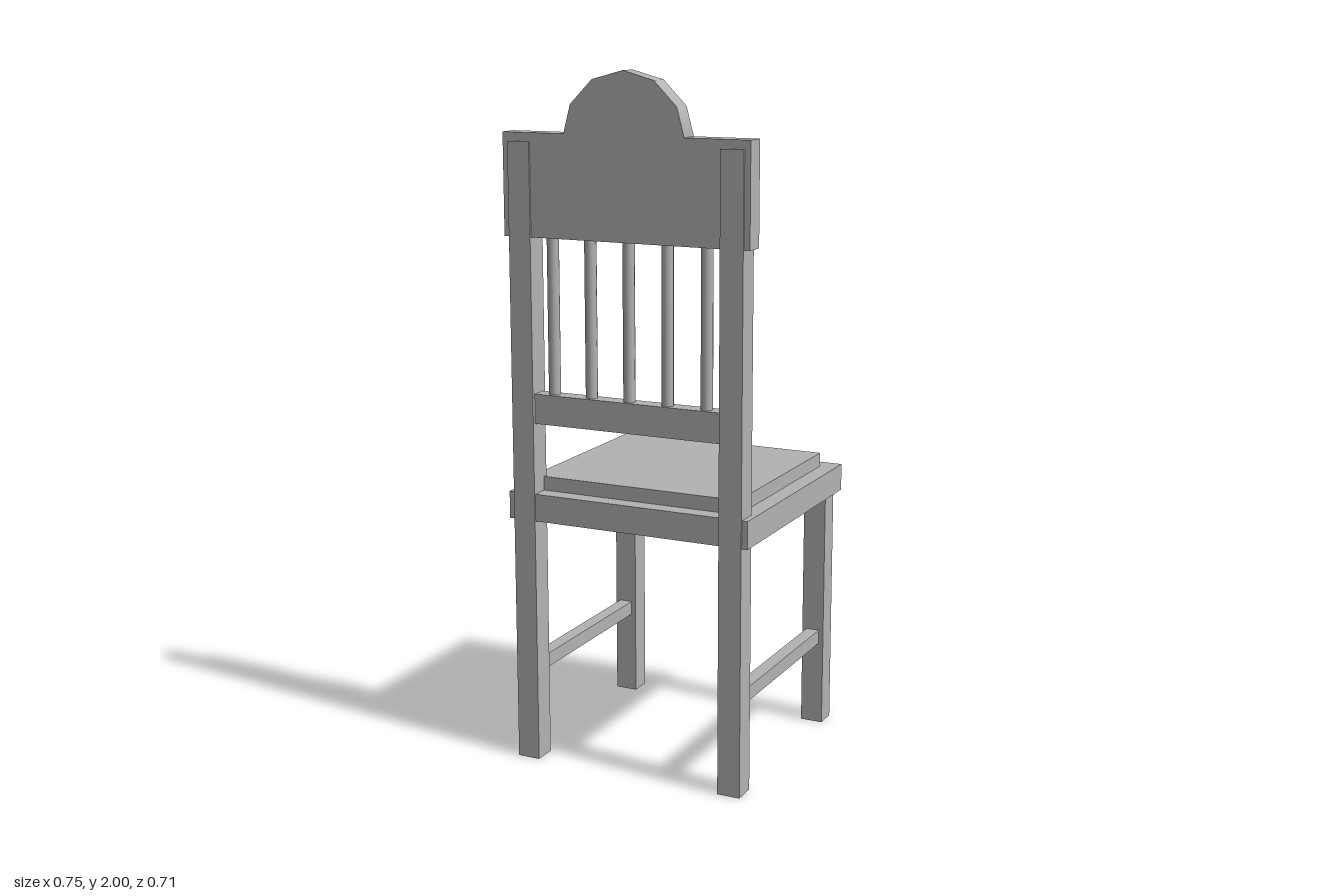
import * as THREE from 'three';

export function createModel() {
  const chair = new THREE.Group();
  chair.name = 'chair';
  const grey = new THREE.MeshStandardMaterial({ color: 0xb3b3b3 });
  grey.name = 'plain grey';

  function add(name, geometry, x, y, z) {
    const mesh = new THREE.Mesh(geometry, grey);
    mesh.name = name;
    mesh.position.set(x, y, z);
    chair.add(mesh);
    return mesh;
  }

  // Box given by its limits on each axis
  function slab(name, [x0, x1], [y0, y1], [z0, z1]) {
    return add(name, new THREE.BoxGeometry(x1 - x0, y1 - y0, z1 - z0),
      (x0 + x1) / 2, (y0 + y1) / 2, (z0 + z1) / 2);
  }

  // Seat and raised cushion
  slab('seat', [-0.373, 0.373], [0.725, 0.805], [-0.357, 0.353]);
  slab('cushion', [-0.323, 0.323], [0.805, 0.846], [-0.306, 0.302]);

  // Legs, tall back posts and side stretchers
  for (const [side, s] of [['left', 1], ['right', -1]]) {
    const span = (a, b) => (s > 0 ? [a, b] : [-b, -a]);
    slab(side + 'BackPost', span(0.288, 0.356), [0, 1.803], [0.288, 0.357]);
    slab(side + 'Leg', span(0.288, 0.356), [0, 0.725], [-0.336, -0.27]);
    slab(side + 'Stretcher', span(0.302, 0.342), [0.255, 0.297], [-0.27, 0.288]);
  }

  // Backrest rails
  slab('lowerRail', [-0.288, 0.288], [1.01, 1.096], [0.297, 0.347]);
  slab('headRail', [-0.373, 0.373], [1.54, 1.828], [0.292, 0.352]);

  // Twelve-sided crest standing half above the head rail
  const crest = new THREE.CylinderGeometry(0.185, 0.185, 0.06, 12);
  crest.rotateX(Math.PI / 2);
  add('crest', crest, 0, 1.815, 0.322);

  // Round spindles
  const spindle = new THREE.CylinderGeometry(0.017, 0.017, 0.46, 12);
  for (let i = -2; i <= 2; i++) add('spindle', spindle, i * 0.118, 1.32, 0.322);

  return chair;
}
